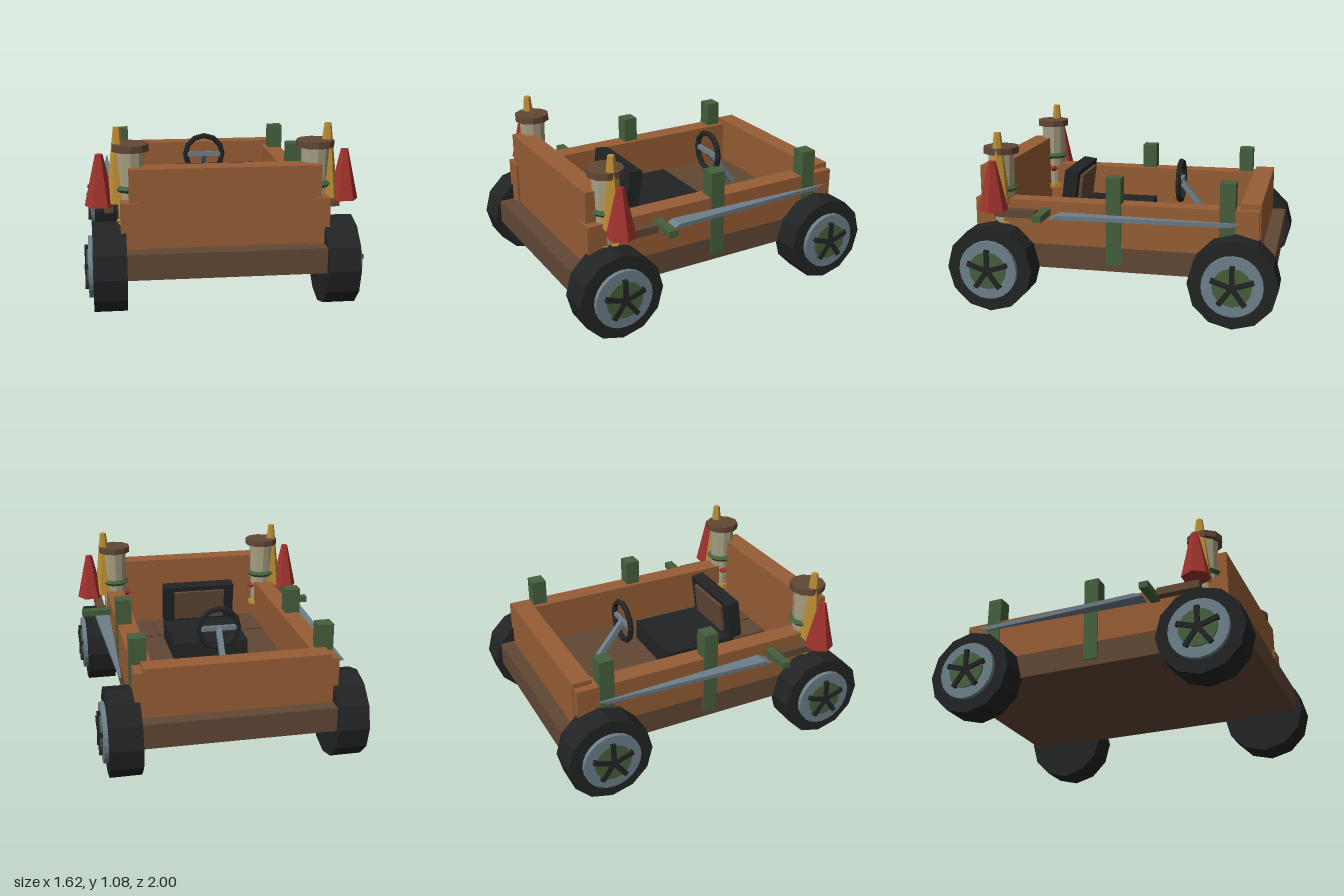
import * as THREE from 'three';

const mat = (name, color) => {
  const m = new THREE.MeshStandardMaterial({ color, flatShading: true });
  m.name = name;
  return m;
};

export function createModel() {
  const wood = mat('orange wood', 0x965d35);
  const brown = mat('dark brown wood', 0x614735);
  const black = mat('black rubber', 0x222324);
  const green = mat('green paint', 0x455f3c);
  const steel = mat('blue grey steel', 0x6d7f8a);
  const red = mat('red paint', 0xa0322d);
  const gold = mat('gold', 0xbd8e35);
  const stone = mat('beige stone', 0xa69f82);

  const model = new THREE.Group();
  model.name = 'woodenCart';

  const add = (parent, name, geo, material, x = 0, y = 0, z = 0) => {
    const mesh = new THREE.Mesh(geo, material);
    mesh.name = name;
    mesh.position.set(x, y, z);
    parent.add(mesh);
    return mesh;
  };
  // Box given by its extents on each axis
  const box = (parent, name, material, [x0, x1], [y0, y1], [z0, z1]) =>
    add(parent, name, new THREE.BoxGeometry(Math.abs(x1 - x0), y1 - y0, z1 - z0), material,
      (x0 + x1) / 2, (y0 + y1) / 2, (z0 + z1) / 2);
  // Upright tapered cylinder from y0 to y1
  const column = (parent, name, material, rTop, rBottom, sides, x, y0, y1, z) =>
    add(parent, name, new THREE.CylinderGeometry(rTop, rBottom, y1 - y0, sides), material, x, (y0 + y1) / 2, z);

  // Body
  box(model, 'base', brown, [-0.597, 0.597], [0.25, 0.4], [-0.96, 0.96]);
  box(model, 'frontWall', wood, [-0.55, 0.55], [0.4, 0.86], [0.72, 0.85]);
  box(model, 'backWall', wood, [-0.55, 0.55], [0.4, 0.7], [-0.872, -0.75]);
  for (let i = -2; i <= 2; i++) {
    box(model, 'floorPlank', brown, [i * 0.196 - 0.082, i * 0.196 + 0.082], [0.398, 0.412], [0.4, 0.72]);
  }

  // Seat, facing the steering wheel
  box(model, 'seatCushion', black, [-0.24, 0.24], [0.4, 0.53], [-0.105, 0.38]);
  const back = new THREE.Group();
  back.name = 'seatBack';
  back.position.set(0, 0.655, 0.375);
  back.rotation.x = -0.13;
  model.add(back);
  box(back, 'backrest', black, [-0.24, 0.24], [-0.13, 0.125], [-0.043, 0.043]);
  box(back, 'backrestPanel', brown, [-0.17, 0.17], [-0.1, 0.095], [-0.063, -0.04]);

  // Steering wheel, crossbar and column
  add(model, 'steeringWheel', new THREE.TorusGeometry(0.127, 0.018, 6, 12), black, 0, 0.7, -0.31);
  box(model, 'steeringCrossbar', steel, [-0.12, 0.12], [0.685, 0.715], [-0.32, -0.3]);
  const top = new THREE.Vector3(0, 0.7, -0.31);
  const foot = new THREE.Vector3(0, 0.45, -0.51);
  const steer = add(model, 'steeringColumn', new THREE.BoxGeometry(0.034, 0.034, top.distanceTo(foot)), steel);
  steer.position.copy(top).lerp(foot, 0.5);
  steer.lookAt(foot);

  // Flat side blade: narrows to the back, its ends slanted
  const blade = new THREE.BoxGeometry(1, 0.026, 1.08);
  const p = blade.attributes.position;
  for (let i = 0; i < p.count; i++) {
    const w = p.getZ(i) > 0 ? 0.092 : 0.01;
    p.setX(i, p.getX(i) * w);
    p.setZ(i, p.getZ(i) - p.getY(i) * 2);
  }

  const wheelParts = (side, z) => {
    const wheel = new THREE.Group();
    wheel.name = (side > 0 ? 'left' : 'right') + (z > 0 ? 'Front' : 'Back') + 'Wheel';
    wheel.position.set(0, 0.268, z);
    model.add(wheel);
    const disc = (name, material, r, sides, x0, x1) => {
      const geo = new THREE.CylinderGeometry(r, r, x1 - x0, sides).rotateZ(Math.PI / 2).rotateX(Math.PI / 2);
      add(wheel, name, geo, material, side * (x0 + x1) / 2);
    };
    disc('tyre', black, 0.265, 12, 0.57, 0.76);
    disc('rim', steel, 0.18, 24, 0.74, 0.787);
    disc('hub', green, 0.115, 16, 0.76, 0.797);
    for (let k = 0; k < 5; k++) {
      const geo = new THREE.BoxGeometry(0.025, 0.13, 0.03).translate(0, 0.065, 0);
      add(wheel, 'spoke', geo, black, side * 0.796).rotation.x = k * Math.PI * 0.4;
    }
  };

  for (const s of [1, -1]) {
    const half = new THREE.Group();
    half.name = s > 0 ? 'leftSide' : 'rightSide';
    model.add(half);
    wheelParts(s, 0.735);
    wheelParts(s, -0.735);

    // Side wall and posts
    box(half, 'sideWall', wood, [s * 0.48, s * 0.6], [0.4, 0.67], [-0.865, 0.865]);
    for (const z of [0, -0.68]) {
      box(half, 'post', green, [s * 0.51, s * 0.606], [0.29, 0.83], [z - 0.046, z + 0.046]);
    }

    // Outriggers and blade
    box(half, 'crossArm', green, [s * 0.59, s * 0.795], [0.585, 0.625], [0.39, 0.445]);
    box(half, 'bracketArm', brown, [s * 0.637, s * 0.69], [0.58, 0.627], [0.46, 0.72]);
    add(half, 'sideBlade', blade, steel, s * 0.664, 0.598, -0.19);

    // Corner lantern
    const x = s * 0.535, z = 0.715;
    column(half, 'lanternFoot', gold, 0.09, 0.09, 10, x, 0.5, 0.53, z);
    column(half, 'lanternColumn', stone, 0.083, 0.072, 10, x, 0.53, 0.945, z);
    column(half, 'lanternLid', brown, 0.11, 0.11, 10, x, 0.945, 0.985, z);
    add(half, 'lanternRing', new THREE.TorusGeometry(0.08, 0.02, 4, 10).rotateX(Math.PI / 2), green, x, 0.73, z);
    const spike = new THREE.ConeGeometry(0.05, 0.09, 6).rotateZ(s * Math.PI / 2);
    add(half, 'innerSpike', spike, red, s * 0.468, 0.64, 0.7);

    // Gold and red cones
    column(half, 'goldCone', gold, 0.021, 0.07, 6, s * 0.608, 0.645, 1.08, 0.71).rotation.y = Math.PI / 6;
    column(half, 'redCone', red, 0.022, 0.088, 6, s * 0.712, 0.627, 0.925, 0.71).rotation.y = Math.PI / 6;
  }
  return model;
}
